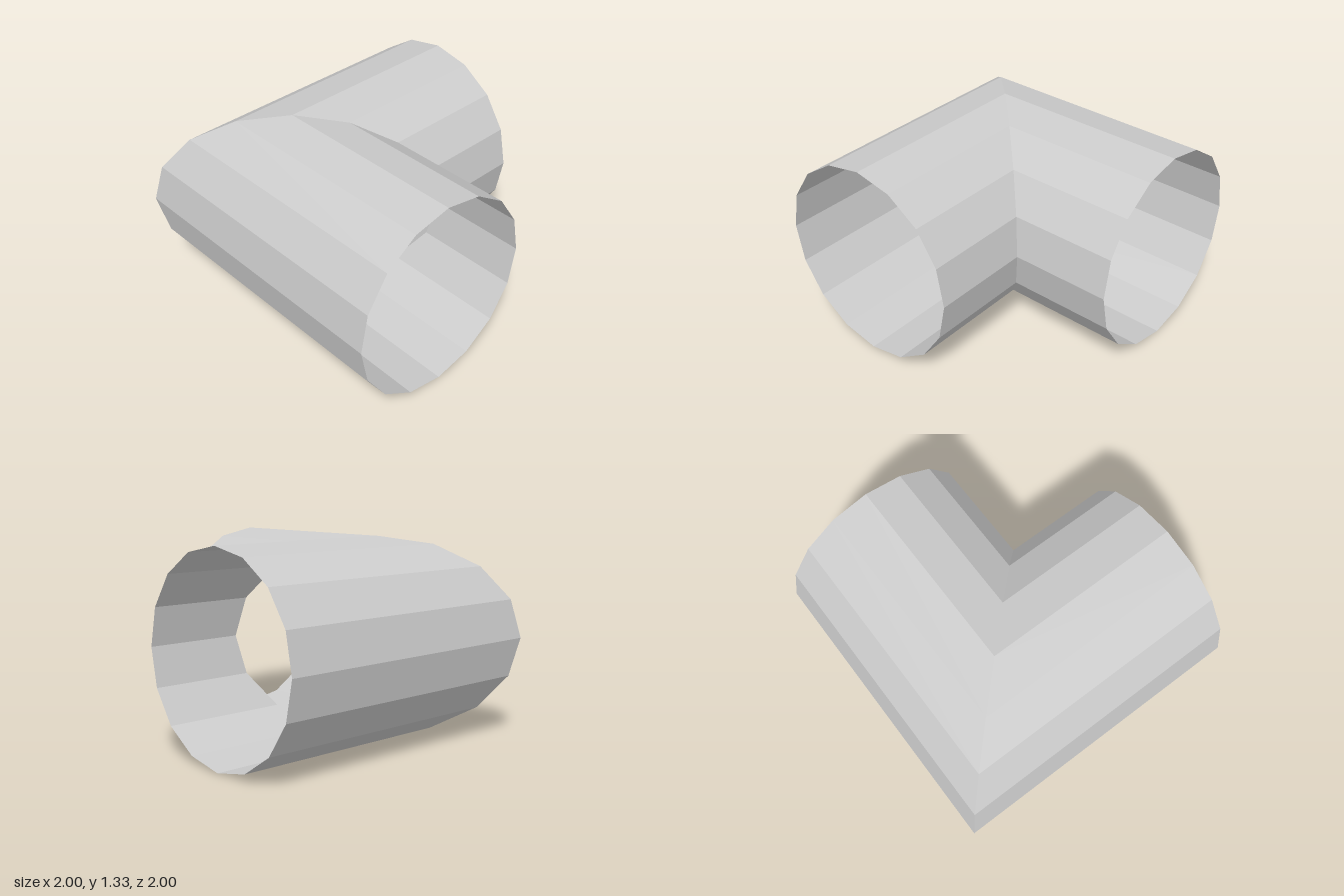
import * as THREE from 'three';

const RADIUS = 2 / 3;
const SIDES = 16;
const OFFSET = -1 / 3; // distance of each pipe's axis from the centre

const material = new THREE.MeshStandardMaterial({
  color: 0xcccccc, flatShading: true, side: THREE.DoubleSide,
});

// Open pipe along 'x' or 'z', cut at 45 degrees on the plane x = z
function mitredPipe(axis, name) {
  const tube = new THREE.CylinderGeometry(RADIUS, RADIUS, 2, SIDES, 1, true);
  if (axis === 'z') tube.rotateX(Math.PI / 2).translate(OFFSET, RADIUS, 0);
  else tube.rotateZ(-Math.PI / 2).translate(0, RADIUS, OFFSET);

  // Slide the inner end of every side onto the mitre plane
  const p = tube.attributes.position;
  for (let i = 0; i < p.count; i++) {
    if (axis === 'z' && p.getZ(i) < 0) p.setZ(i, p.getX(i));
    if (axis === 'x' && p.getX(i) < 0) p.setX(i, p.getZ(i));
  }

  const geometry = tube.toNonIndexed();
  geometry.computeVertexNormals();
  const mesh = new THREE.Mesh(geometry, material);
  mesh.name = name;
  return mesh;
}

export function createModel() {
  const group = new THREE.Group();
  group.name = 'pipeElbow';
  group.add(mitredPipe('z', 'frontPipe'), mitredPipe('x', 'sidePipe'));
  return group;
}
